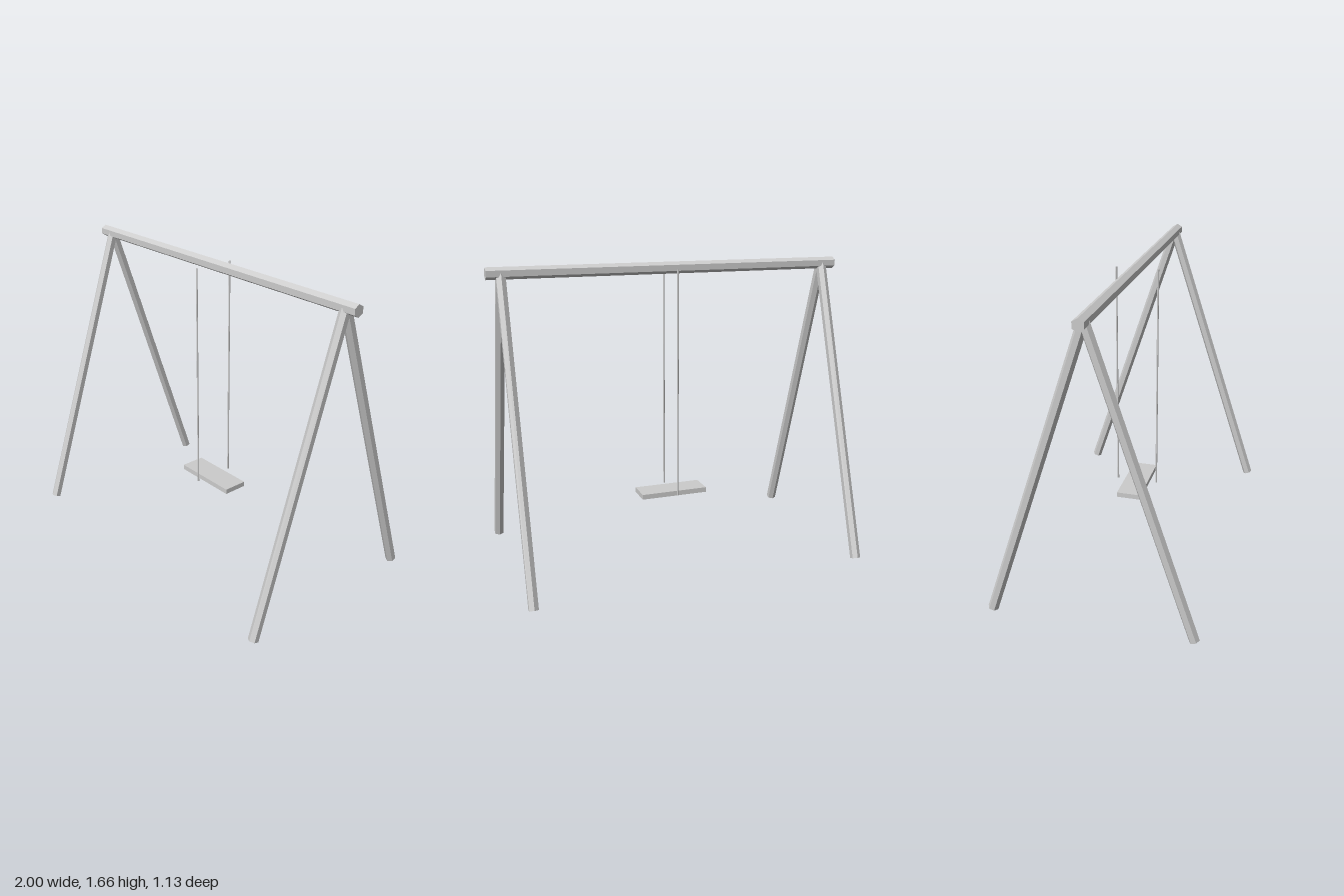
import * as THREE from 'three';

export function createModel() {
  const group = new THREE.Group();
  group.name = 'swingSet';
  const grey = new THREE.MeshStandardMaterial({ color: 0xcccccc, flatShading: true });
  grey.name = 'pale grey';

  const add = (geometry, name) => {
    const mesh = new THREE.Mesh(geometry, grey);
    mesh.name = name;
    group.add(mesh);
    return mesh;
  };

  // Straight six-sided pole between two points
  const up = new THREE.Vector3(0, 1, 0);
  const pole = (from, to, radius, name) => {
    const a = new THREE.Vector3(...from), b = new THREE.Vector3(...to);
    const dir = b.clone().sub(a);
    const mesh = add(new THREE.CylinderGeometry(radius, radius, dir.length(), 6), name);
    mesh.position.copy(a).add(b).multiplyScalar(0.5);
    mesh.quaternion.setFromUnitVectors(up, dir.normalize());
    return mesh;
  };

  const beamY = 1.629;

  // Top beam, a hexagonal bar with one ridge upward
  const beamGeometry = new THREE.CylinderGeometry(0.0325, 0.0325, 2, 6);
  beamGeometry.rotateY(Math.PI / 2).rotateZ(Math.PI / 2);
  add(beamGeometry, 'topBeam').position.y = beamY;

  // Splayed legs, a pair at each end
  for (const [x, side] of [[0.923, 'left'], [-0.923, 'right']]) {
    for (const [s, end] of [[1, 'Front'], [-1, 'Back']]) {
      pole([x, 0.009, s * 0.537], [x, beamY, 0], 0.028, `${side}${end}Leg`);
    }
  }

  // Hanging ropes
  for (const [s, name] of [[1, 'frontRope'], [-1, 'backRope']]) {
    pole([0, 0.356, s * 0.115], [0, beamY, s * 0.115], 0.005, name);
  }

  // Seat board
  add(new THREE.BoxGeometry(0.385, 0.028, 0.138), 'seat').position.y = 0.351;

  return group;
}
